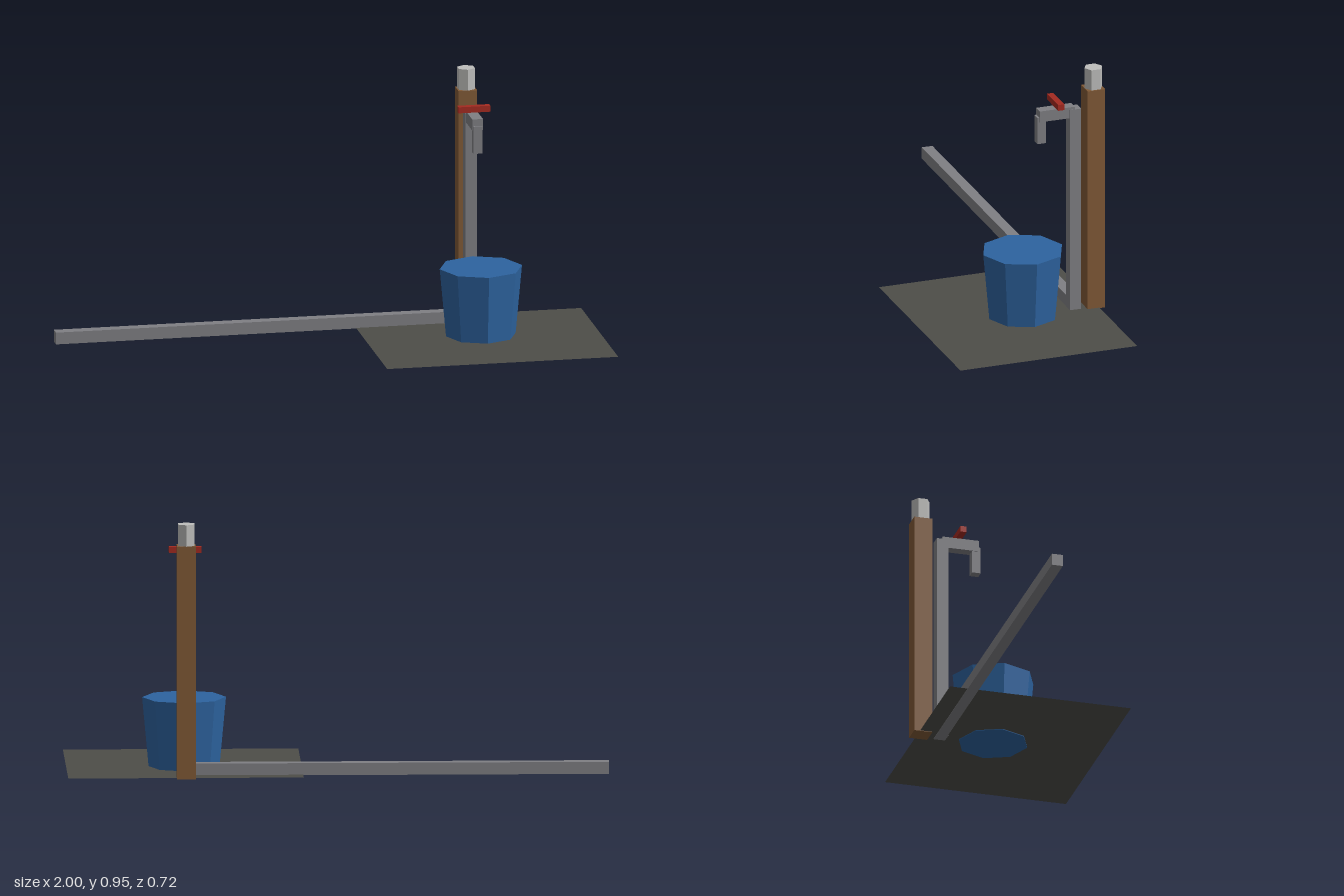
import * as THREE from 'three';

const material = (name, color) => {
  const m = new THREE.MeshStandardMaterial({ color, flatShading: true });
  m.name = name;
  return m;
};

export function createModel() {
  const steel = material('grey steel', 0x7f7f83);
  const wood = material('brown wood', 0x805936);
  const zinc = material('pale zinc', 0xbdbdbb);
  const red = material('red paint', 0xa32a20);
  const blue = material('blue plastic', 0x2d639f);
  const slab = material('dark paving', 0x4d4d48);
  slab.side = THREE.DoubleSide;

  const model = new THREE.Group();
  model.name = 'standpipe';
  const cx = 0.564; // shared axis of tap, post and bucket

  const add = (name, geometry, mat, x, y, z) => {
    const mesh = new THREE.Mesh(geometry, mat);
    mesh.name = name;
    mesh.position.set(x, y, z);
    model.add(mesh);
    return mesh;
  };
  // Box given by its limits on each axis
  const box = (name, mat, [x0, x1], [y0, y1], [z0, z1]) =>
    add(name, new THREE.BoxGeometry(x1 - x0, y1 - y0, z1 - z0), mat,
      (x0 + x1) / 2, (y0 + y1) / 2, (z0 + z1) / 2);
  const across = (width) => [cx - width / 2, cx + width / 2];

  // Ground slab, a hair above the bases of the other parts
  const ground = add('groundSlab', new THREE.PlaneGeometry(0.87, 0.695), slab, 0.565, 0.002, 0.01);
  ground.rotation.x = -Math.PI / 2;

  // Water pipe: supply along the ground, riser, arm and spout
  box('supplyPipe', steel, [-1, 0.583], [0, 0.045], [-0.27, -0.228]);
  box('riserPipe', steel, across(0.044), [0, 0.8], [-0.27, -0.226]);
  box('tapArm', steel, across(0.04), [0.767, 0.81], [-0.247, -0.108]);
  box('tapSpout', steel, across(0.034), [0.68, 0.784], [-0.133, -0.1]);
  box('tapHandle', red, across(0.12), [0.82, 0.843], [-0.19, -0.166]);

  // Post with a six-sided cap
  box('post', wood, across(0.07), [0, 0.87], [-0.36, -0.291]);
  add('postCap', new THREE.CylinderGeometry(0.035, 0.035, 0.08, 6), zinc, cx, 0.91, -0.326);

  // Eight-sided tapered bucket
  add('bucket', new THREE.CylinderGeometry(0.155, 0.131, 0.26, 8), blue, cx, 0.13, -0.048);

  return model;
}
